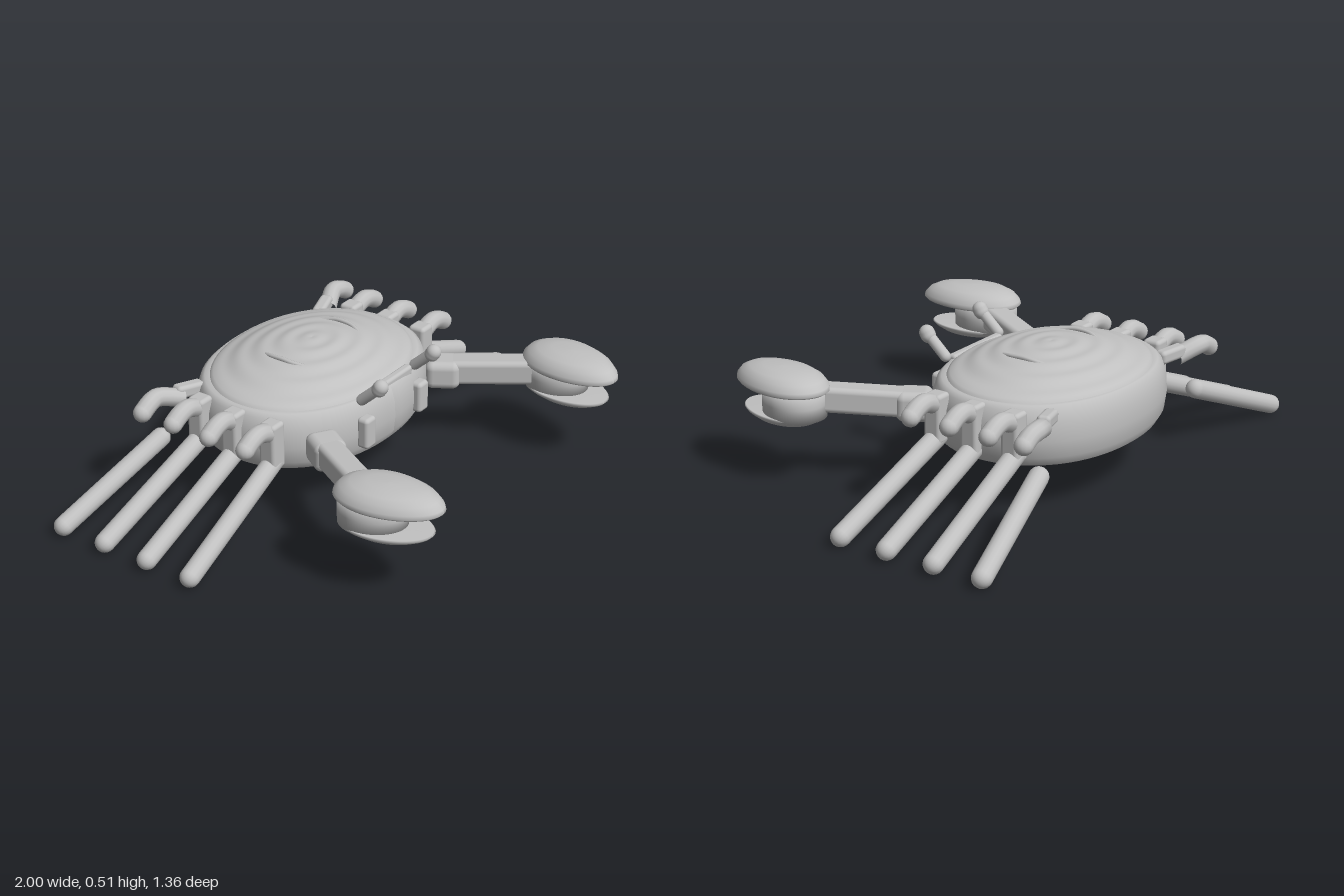
import * as THREE from 'three';
import { RoundedBoxGeometry } from 'three/addons/geometries/RoundedBoxGeometry.js';

const shellGrey = new THREE.MeshStandardMaterial({ color: 0xc0c0c0 });
shellGrey.name = 'shellGrey';

const V = (x, y, z) => new THREE.Vector3(x, y, z);

function add(parent, name, geometry) {
  const mesh = new THREE.Mesh(geometry, shellGrey);
  mesh.name = name;
  parent.add(mesh);
  return mesh;
}

// Rounded limb whose ends reach just past a and b
function limb(parent, name, a, b, r) {
  const m = add(parent, name, new THREE.CapsuleGeometry(r, a.distanceTo(b), 6, 16));
  m.position.lerpVectors(a, b, 0.5);
  m.quaternion.setFromUnitVectors(V(0, 1, 0), b.clone().sub(a).normalize());
  return m;
}

// Rounded block running from a to b
function block(parent, name, a, b, w, h, round = 0.015) {
  const m = add(parent, name, new RoundedBoxGeometry(w, h, a.distanceTo(b), 3, round));
  m.position.lerpVectors(a, b, 0.5);
  m.lookAt(b.clone().add(b.clone().sub(m.position)));
  return m;
}

// Lathe profile stretched to a slightly squared oval
function oval(profile, rx, rz, power) {
  const g = new THREE.LatheGeometry(profile.map(([r, y]) => new THREE.Vector2(r, y)), 72);
  const p = g.attributes.position;
  for (let i = 0; i < p.count; i++) {
    const x = p.getX(i), z = p.getZ(i), r = Math.hypot(x, z);
    if (r < 1e-6) continue;
    const k = 1 / Math.pow(Math.pow(Math.abs(x / r), power) + Math.pow(Math.abs(z / r), power), 1 / power);
    p.setX(i, x * k * rx);
    p.setZ(i, z * k * rz);
  }
  g.computeVertexNormals();
  return g;
}

function buildBody(crab) {
  // Flat-bottomed hull with an upright side wall
  const hull = add(crab, 'hull', oval([
    [0, 0.185], [0.92, 0.185], [0.925, 0.187], [0.975, 0.22], [0.995, 0.28],
    [0.985, 0.34], [0.95, 0.385], [0.91, 0.4], [0.86, 0.4], [0, 0.4],
  ], 0.48, 0.372, 2.2));
  hull.position.z = -0.275;

  // Domed shell with faint growth rings
  const profile = [[0.9, 0.39]];
  for (let i = 0; i <= 40; i++) {
    const r = 0.88 * (1 - i / 40);
    const y = 0.405 + 0.085 * (1 - Math.pow(r / 0.88, 2.1));
    profile.push([r, y + 0.0022 * Math.sin(r * 32)]);
  }
  const dome = add(crab, 'shellDome', oval(profile, 0.48, 0.372, 2.05));
  dome.position.z = -0.275;

  // Raised lip between the eyes
  block(crab, 'browLip', V(-0.15, 0.395, 0.05), V(0.15, 0.395, 0.05), 0.035, 0.04, 0.012);
}

function buildSide(s) {
  const side = new THREE.Group();
  side.name = s > 0 ? 'leftSide' : 'rightSide';
  const P = (x, y, z) => V(s * x, y, z);

  // Eye stalk, its foot and the eye
  limb(side, 'eyeStalk', P(0.165, 0.41, 0.065), P(0.165, 0.465, 0.125), 0.02);
  limb(side, 'eye', P(0.165, 0.475, 0.14), P(0.165, 0.485, 0.146), 0.028);
  block(side, 'eyeFoot', P(0.165, 0.23, 0.085), P(0.165, 0.35, 0.085), 0.06, 0.05);

  // Curved ridge on the shell
  const ridge = new THREE.CatmullRomCurve3([
    P(0.165, 0.462, -0.37), P(0.182, 0.475, -0.32), P(0.185, 0.479, -0.275),
    P(0.182, 0.475, -0.23), P(0.165, 0.466, -0.185),
  ]);
  add(side, 'shellRidge', new THREE.TubeGeometry(ridge, 20, 0.009, 8));

  // Four legs: socket on the hull, short upper segment, long lower segment
  const roots = [-0.11, -0.27, -0.43, -0.57], tips = [-0.08, -0.27, -0.46, -0.65];
  roots.forEach((z, i) => {
    const inner = [0.46, 0.47, 0.46, 0.44][i];
    const inZ = [-0.11, -0.27, -0.43, -0.53][i];
    if (i < 3) block(side, 'legSocket', P(inner, 0.22, inZ), P(inner, 0.4, inZ), 0.07, 0.07);
    else block(side, 'rearSpur', P(0.35, 0.37, -0.51), P(0.46, 0.38, -0.545), 0.05, 0.05);
    const thigh = new THREE.CatmullRomCurve3([
      P(inner, 0.355, inZ), P(0.53, 0.382, z), P(0.57, 0.376, z), P(0.61, 0.355, z),
    ]);
    const upper = add(side, 'upperLeg', new THREE.TubeGeometry(thigh, 12, 0.034, 12));
    const tip = add(upper, 'upperLegEnd', new THREE.SphereGeometry(0.034, 14, 10));
    tip.position.copy(P(0.61, 0.355, z));
    limb(side, 'lowerLeg', P(i === 3 ? 0.52 : 0.45, i === 3 ? 0.215 : 0.24, z), P(0.963, 0.037, tips[i]), 0.036);
  });

  // Claw arm with a shoulder
  block(side, 'shoulder', P(0.33, 0.295, 0.0), P(0.4, 0.295, 0.11), 0.12, 0.11, 0.03);
  block(side, 'clawArm', P(0.36, 0.3, 0.04), P(0.55, 0.315, 0.36), 0.095, 0.095, 0.02);

  // Claw: palm between a domed upper jaw and a shallower lower jaw
  const claw = new THREE.Group();
  claw.name = 'claw';
  claw.position.set(s * 0.582, 0, 0.475);
  claw.rotation.y = -s * 0.14;
  side.add(claw);
  const jaw = (name, rings, rx, rz, zOff) => {
    const g = oval(rings, rx, rz, 2);
    const p = g.attributes.position;
    // narrow toward the front tip
    for (let i = 0; i < p.count; i++) {
      const z = p.getZ(i);
      p.setX(i, p.getX(i) * (1 - 0.55 * z));
    }
    g.computeVertexNormals();
    add(claw, name, g).position.z = zOff;
  };
  jaw('upperJaw', [[0, 0.345], [0.96, 0.345], [1, 0.352], [0.98, 0.366], [0.88, 0.388],
    [0.7, 0.405], [0.4, 0.414], [0, 0.416]], 0.125, 0.202, 0);
  jaw('lowerJaw', [[0, 0.216], [0.45, 0.218], [0.75, 0.228], [0.95, 0.246], [1, 0.255],
    [0.97, 0.26], [0, 0.262]], 0.115, 0.175, -0.01);
  jaw('palm', [[0, 0.25], [1, 0.25], [1, 0.3], [1, 0.352], [0, 0.352]], 0.105, 0.125, -0.06);
  return side;
}

export function createModel() {
  const crab = new THREE.Group();
  crab.name = 'crab';
  buildBody(crab);
  crab.add(buildSide(1), buildSide(-1));
  return crab;
}
